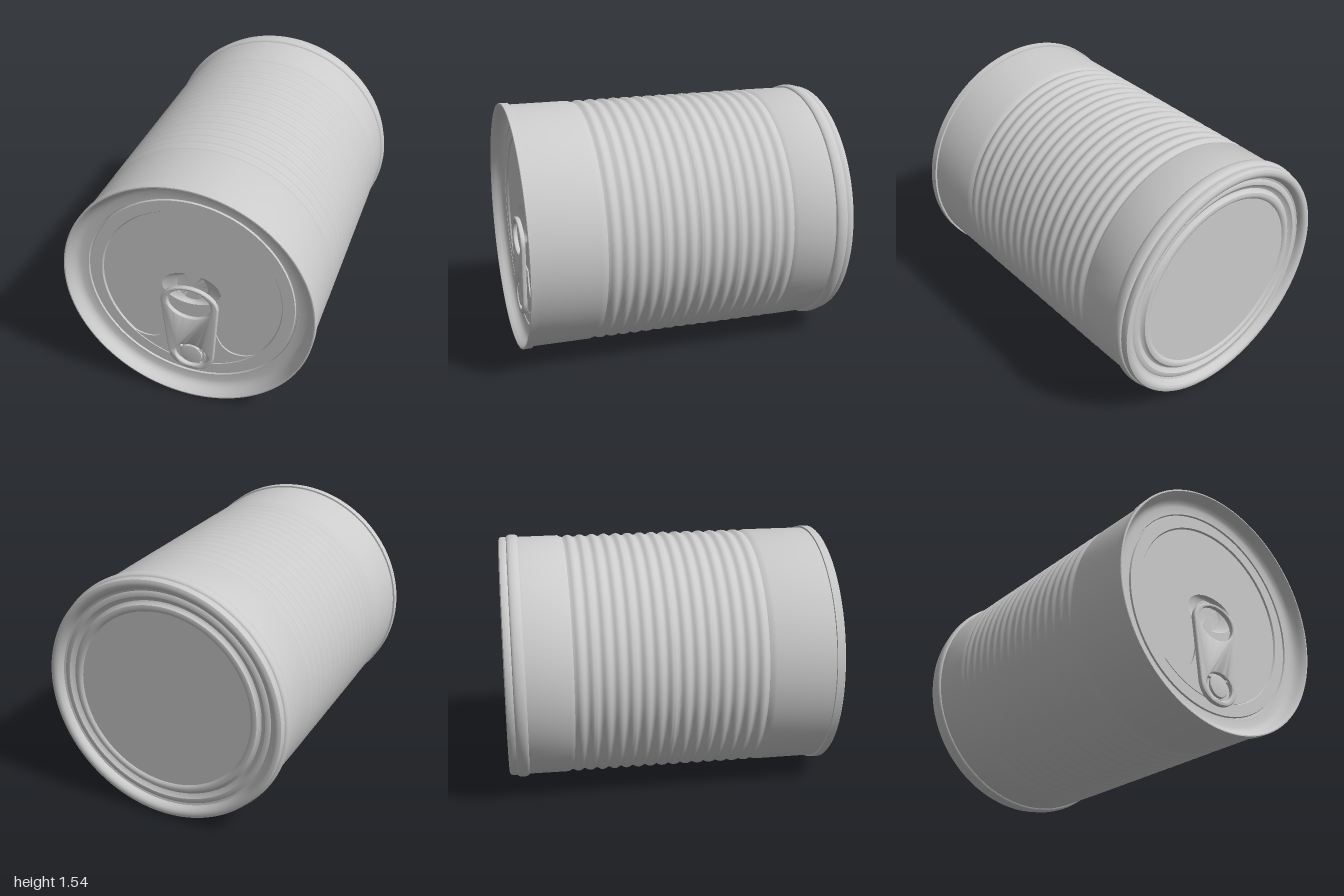
import * as THREE from 'three';
import { toCreasedNormals } from 'three/addons/utils/BufferGeometryUtils.js';
import { ParametricGeometry } from 'three/addons/geometries/ParametricGeometry.js';

const CY = 0.77;       // height of the can's axis
const PANEL_Z = 0.91;  // inner lid panel
const LID_Z = 0.92;    // outer lid ring
const SEG = 128;

const material = new THREE.MeshStandardMaterial({ color: 0xcccccc });
const sheet = new THREE.MeshStandardMaterial({ color: 0xcccccc, side: THREE.DoubleSide });

function part(group, name, geometry, mat = material) {
  const mesh = new THREE.Mesh(geometry, mat);
  mesh.name = name;
  group.add(mesh);
  return mesh;
}

// Revolves [radius, z] pairs about an axis parallel to z.
function revolve(profile, y, segments = SEG) {
  const points = profile.map(([r, z]) => new THREE.Vector2(r, z));
  const geometry = new THREE.LatheGeometry(points, segments).rotateX(Math.PI / 2);
  geometry.translate(0, y, 0);
  return toCreasedNormals(geometry, 0.6);
}

function ellipsePath(cx, cy, rx, ry) {
  return new THREE.Path().absellipse(cx, cy, rx, ry, 0, Math.PI * 2, false);
}

function backProfile() {
  return [
    [0, -0.955], [0.55, -0.955], [0.56, -0.965], [0.575, -0.968], [0.59, -0.965],
    [0.6, -0.95], [0.612, -0.945], [0.625, -0.95], [0.64, -0.962], [0.66, -0.962],
    [0.672, -0.955], [0.685, -0.958], [0.693, -0.975], [0.703, -0.992], [0.718, -1],
    [0.735, -1], [0.749, -0.994], [0.755, -0.982], [0.755, -0.957],
  ];
}

// Side wall: back bead, plain band, ribbed band, plain band.
function wallProfile() {
  const points = [];
  for (let i = 0; i <= 10; i++) {
    const a = -Math.PI / 2 + (i / 10) * Math.PI;
    points.push([0.753 + 0.017 * Math.cos(a), -0.915 + 0.037 * Math.sin(a)]);
  }
  const pitch = 0.0767, first = -0.605, ribs = 15, steps = 8;
  points.push([0.755, first - pitch / 3]);
  for (let i = 0; i <= ribs * steps; i++) {
    const dip = 0.5 + 0.5 * Math.cos((i / steps) * Math.PI * 2);
    points.push([0.756 - 0.014 * Math.pow(dip, 1.3), first + (i / steps) * pitch]);
  }
  points.push([0.75, 0.565], [0.755, 0.585], [0.755, 0.95]);
  return points;
}

function frontProfile() {
  return [
    [0.766, 0.951], [0.767, 0.997], [0.764, 1], [0.757, 1], [0.749, 0.99], [0.739, 0.968],
    [0.727, 0.946], [0.711, 0.93], [0.69, 0.922], [0.643, LID_Z], [0.639, 0.91],
    [0.631, 0.91], [0.627, LID_Z], [0.556, LID_Z], [0.549, PANEL_Z],
  ];
}

// Inner panel with an opening for the finger dent.
function panelGeometry() {
  const shape = new THREE.Shape().absarc(0, CY, 0.55, 0, Math.PI * 2, false);
  shape.holes.push(ellipsePath(0, 0.778, 0.18, 0.112));
  return new THREE.ShapeGeometry(shape, 64).translate(0, 0, PANEL_Z);
}

// Dent blending from an oval edge to a round, flat floor.
function dentGeometry() {
  const loops = [[0.18, 0.112, 0], [0.165, 0.109, -0.006], [0.125, 0.104, -0.018],
    [0.1, 0.1, -0.023], [0.095, 0.095, -0.026], [0, 0, -0.026]];
  const surface = (u, v, target) => {
    const [rx, ry, z] = loops[Math.round(v * (loops.length - 1))];
    const a = u * Math.PI * 2;
    target.set(rx * Math.cos(a), 0.778 + ry * Math.sin(a), PANEL_Z + z);
  };
  return toCreasedNormals(new ParametricGeometry(surface, 64, loops.length - 1), 0.5);
}

// Raised platform under the tab's foot, flaring into the panel's edge.
function platformGeometry() {
  const s = new THREE.Shape();
  const edge = Math.atan2(0.372 - CY, 0.38);
  s.moveTo(-0.38, 0.372);
  s.absarc(0, CY, 0.55, Math.PI - edge, Math.PI * 2 + edge, false);
  s.bezierCurveTo(0.3, 0.325, 0.19, 0.335, 0.155, 0.46);
  s.lineTo(0.14, 0.52);
  s.lineTo(-0.14, 0.52);
  s.lineTo(-0.155, 0.46);
  s.bezierCurveTo(-0.19, 0.335, -0.3, 0.325, -0.38, 0.372);
  const geometry = new THREE.ExtrudeGeometry(s, { depth: 0.009, bevelEnabled: false, curveSegments: 24 });
  return geometry.translate(0, 0, PANEL_Z);
}

// Pull tab with a finger opening and a rivet opening.
function tabGeometry() {
  const b = 0.008;
  const s = new THREE.Shape();
  s.moveTo(-0.137, 0.31);
  s.bezierCurveTo(-0.13, 0.15, 0.13, 0.15, 0.137, 0.31);
  s.lineTo(0.17, 0.68);
  s.bezierCurveTo(0.175, 0.755, 0.09, 0.81, 0, 0.81);
  s.bezierCurveTo(-0.09, 0.81, -0.175, 0.755, -0.17, 0.68);
  s.closePath();
  s.holes.push(ellipsePath(0, 0.695, 0.136 + b, 0.105 + b));
  s.holes.push(ellipsePath(0, 0.297, 0.102 + b, 0.083 + b));
  const geometry = new THREE.ExtrudeGeometry(s, {
    depth: 0.014, bevelEnabled: true, bevelSize: b, bevelThickness: b, bevelSegments: 4, curveSegments: 24,
  });
  return toCreasedNormals(geometry.translate(0, 0, 0.935), 0.6);
}

export function createModel() {
  const can = new THREE.Group();
  can.name = 'tinCan';

  part(can, 'canBody', revolve([...backProfile(), ...wallProfile(), ...frontProfile()], CY));

  const lid = new THREE.Group();
  lid.name = 'lid';
  can.add(lid);
  part(lid, 'lidPanel', panelGeometry());
  part(lid, 'fingerDent', dentGeometry(), sheet);
  part(lid, 'tabPlatform', platformGeometry());

  const pull = new THREE.Group();
  pull.name = 'pullTab';
  can.add(pull);
  part(pull, 'tabPlate', tabGeometry());

  // Tongue inside the tab, held down by the rivet
  const tongue = new THREE.CylinderGeometry(1, 1, 0.018, 48).rotateX(Math.PI / 2);
  part(pull, 'rivetTongue', tongue.scale(0.085, 0.072, 1).translate(0, 0.297, 0.929));
  part(pull, 'rivet', revolve([[0.07, 0.92], [0.07, 0.947], [0.066, 0.952], [0.06, 0.953], [0, 0.953]], 0.3, 48));
  for (const side of [-1, 1]) {
    const stud = new THREE.SphereGeometry(0.012, 16, 8).translate(side * 0.066, 0.345, 0.94);
    part(pull, side > 0 ? 'leftStud' : 'rightStud', stud);
  }
  return can;
}
